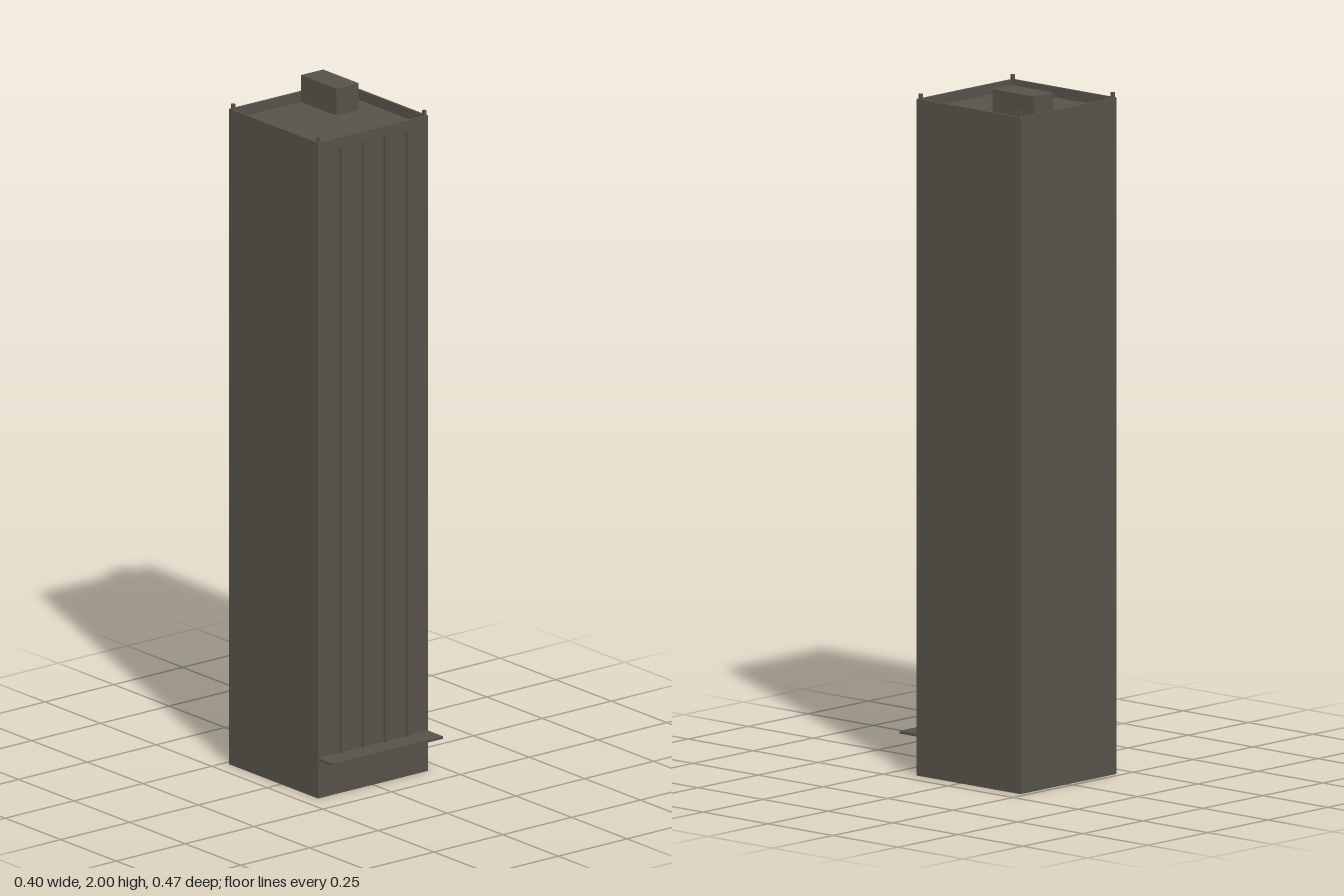
import * as THREE from 'three';

export function createModel() {
  const model = new THREE.Group();
  const concrete = new THREE.MeshStandardMaterial({ color: 0x56524a, side: THREE.DoubleSide });
  concrete.name = 'grey brown concrete';

  const half = 0.2, centreZ = -0.033, frontZ = 0.167;
  const roofY = 1.92, topY = 1.95, rim = 0.007;

  const add = (name, geometry, x, y, z) => {
    const mesh = new THREE.Mesh(geometry, concrete);
    mesh.name = name;
    mesh.position.set(x, y, z);
    model.add(mesh);
    return mesh;
  };
  // Box given by its minimum and maximum corners
  const block = (name, a, b) => add(name,
    new THREE.BoxGeometry(b[0] - a[0], b[1] - a[1], b[2] - a[2]),
    (a[0] + b[0]) / 2, (a[1] + b[1]) / 2, (a[2] + b[2]) / 2);

  // Four thin outer walls, hollow and open at the bottom
  for (let i = 0; i < 4; i++) {
    const angle = i * Math.PI / 2;
    const wall = add(['frontWall', 'leftWall', 'backWall', 'rightWall'][i],
      new THREE.PlaneGeometry(half * 2, roofY),
      Math.sin(angle) * half, roofY / 2, centreZ + Math.cos(angle) * half);
    wall.rotation.y = angle;
  }

  // Sunken flat roof
  add('roof', new THREE.PlaneGeometry(half * 2, half * 2).rotateX(-Math.PI / 2), 0, roofY, centreZ);

  // Parapet: a square ring around the roof
  const square = (Type, r) => new Type([[-r, -r], [r, -r], [r, r], [-r, r]].map(p => new THREE.Vector2(...p)));
  const ring = square(THREE.Shape, half);
  ring.holes.push(square(THREE.Path, half - rim));
  add('parapet', new THREE.ExtrudeGeometry(ring, { depth: topY - roofY, bevelEnabled: false })
    .rotateX(-Math.PI / 2), 0, roofY, centreZ);

  // Small posts on the parapet corners
  for (const sx of [-1, 1]) for (const sz of [-1, 1]) {
    add('cornerPost', new THREE.BoxGeometry(0.009, 0.045, 0.009),
      sx * 0.192, roofY + 0.0225, centreZ + sz * 0.192);
  }

  // Rooftop plant room
  block('plantRoom', [0.055, roofY, -0.225], [0.135, 2, -0.065]);

  // Vertical fins on the front
  for (const x of [-0.12, -0.04, 0.04, 0.12]) {
    block('facadeFin', [x - 0.0025, 0.12, frontZ], [x + 0.0025, 1.925, frontZ + 0.009]);
  }

  // Entrance canopy
  block('canopy', [-half, 0.112, frontZ], [half, 0.12, 0.233]);

  return model;
}
